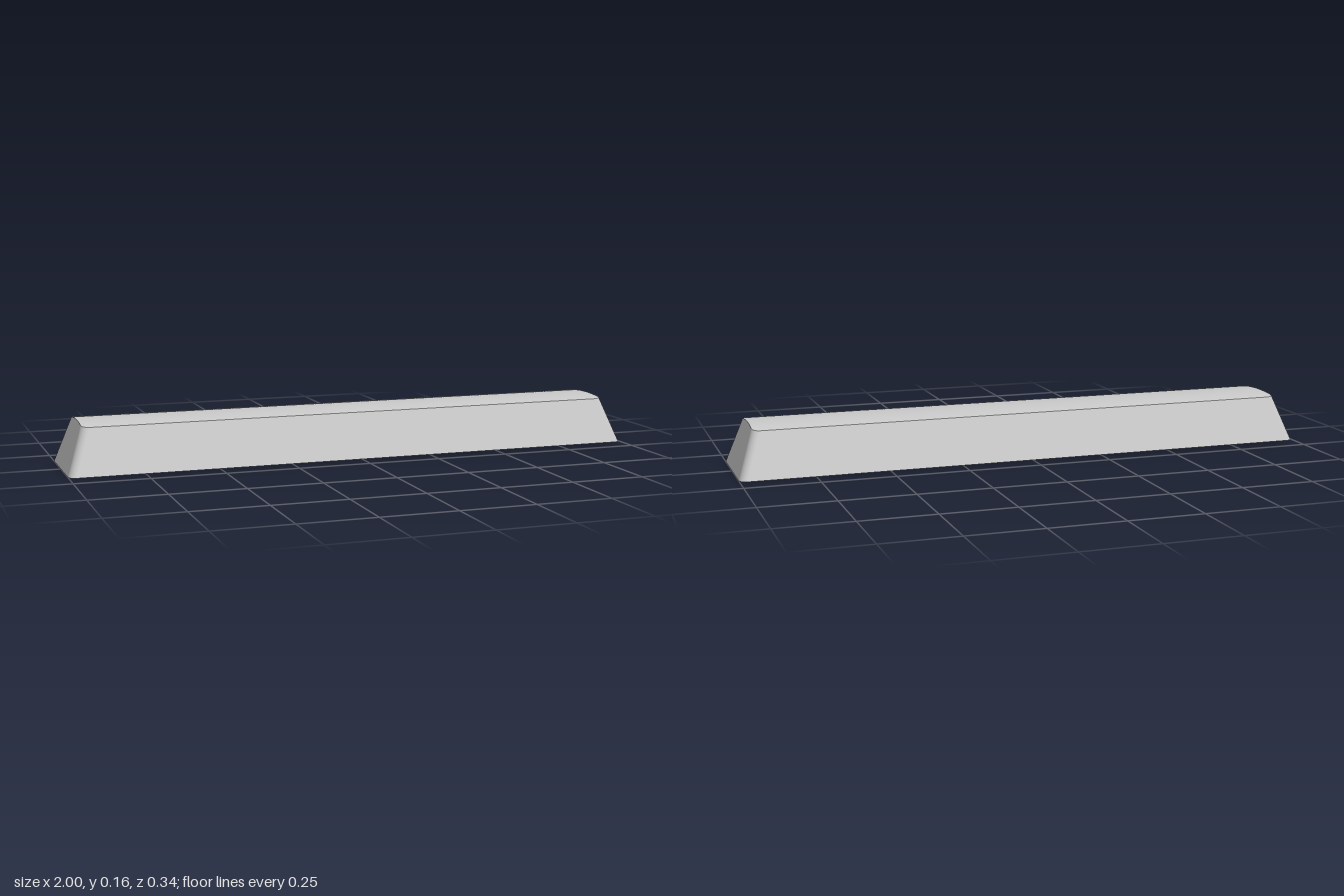
import * as THREE from 'three';

const HALF_X = 1, HALF_Z = 0.17, RADIUS = 0.026, SLOPE = 0.348;
const CROWN = 0.163, CROWN_DROP = 0.009, TOP_HALF_Z = 0.117;
const ARC_STEPS = 8, END_STEPS = 24;

// Right half of the rounded outline, front to back: t is the place along the end, n the outward direction
function halfOutline() {
  const list = [];
  const arc = (t, from) => {
    for (let i = 0; i <= ARC_STEPS; i++) {
      const a = from - (i / ARC_STEPS) * Math.PI / 2;
      list.push({ side: 1, t, nx: Math.cos(a), nz: Math.sin(a) });
    }
  };
  arc(1, Math.PI / 2);
  for (let i = 1; i < END_STEPS; i++) list.push({ side: 1, t: 1 - 2 * i / END_STEPS, nx: 1, nz: 0 });
  arc(-1, 0);
  return list;
}

const mirror = (p) => ({ ...p, side: -p.side, nx: -p.nx });

// Outline point at a height: the walls lean inward, the corner radius stays the same
function pointAt(p, y) {
  const inset = SLOPE * y + RADIUS;
  return [p.side * (HALF_X - inset) + RADIUS * p.nx, y, p.t * (HALF_Z - inset) + RADIUS * p.nz];
}

const basePoint = (p) => pointAt(p, 0);

// Outline point where the wall meets the arched top
function topPoint(p) {
  let y = CROWN;
  for (let i = 0; i < 6; i++) y = CROWN - CROWN_DROP * (pointAt(p, y)[2] / TOP_HALF_Z) ** 2;
  return pointAt(p, y);
}

// Surface between two rows of points with equal counts
function strip(rowA, rowB, normals) {
  const n = rowA.length, index = [];
  for (let i = 0; i < n - 1; i++) index.push(i, i + 1, n + i + 1, i, n + i + 1, n + i);
  const geometry = new THREE.BufferGeometry();
  geometry.setAttribute('position', new THREE.Float32BufferAttribute([...rowA, ...rowB].flat(), 3));
  geometry.setIndex(index);
  if (normals) {
    geometry.setAttribute('normal', new THREE.Float32BufferAttribute([...normals, ...normals].flat(), 3));
    geometry.normalizeNormals();
  } else geometry.computeVertexNormals();
  return geometry;
}

export function createModel() {
  const group = new THREE.Group();
  group.name = 'longKeycap';
  const material = new THREE.MeshStandardMaterial({ color: 0xcccccc });
  const add = (name, geometry) => {
    const mesh = new THREE.Mesh(geometry, material);
    mesh.name = name;
    group.add(mesh);
  };

  const right = halfOutline();
  const left = right.map(mirror);
  const ring = [...right, ...left.slice().reverse(), right[0]];

  // Sloping walls with rounded corners
  add('walls', strip(ring.map(basePoint), ring.map(topPoint), ring.map((p) => [p.nx, SLOPE, p.nz])));
  // Arched top
  add('archedTop', strip(right.map(topPoint), left.map(topPoint)));
  // Flat underside
  add('underside', strip(left.map(basePoint), right.map(basePoint)));
  return group;
}
